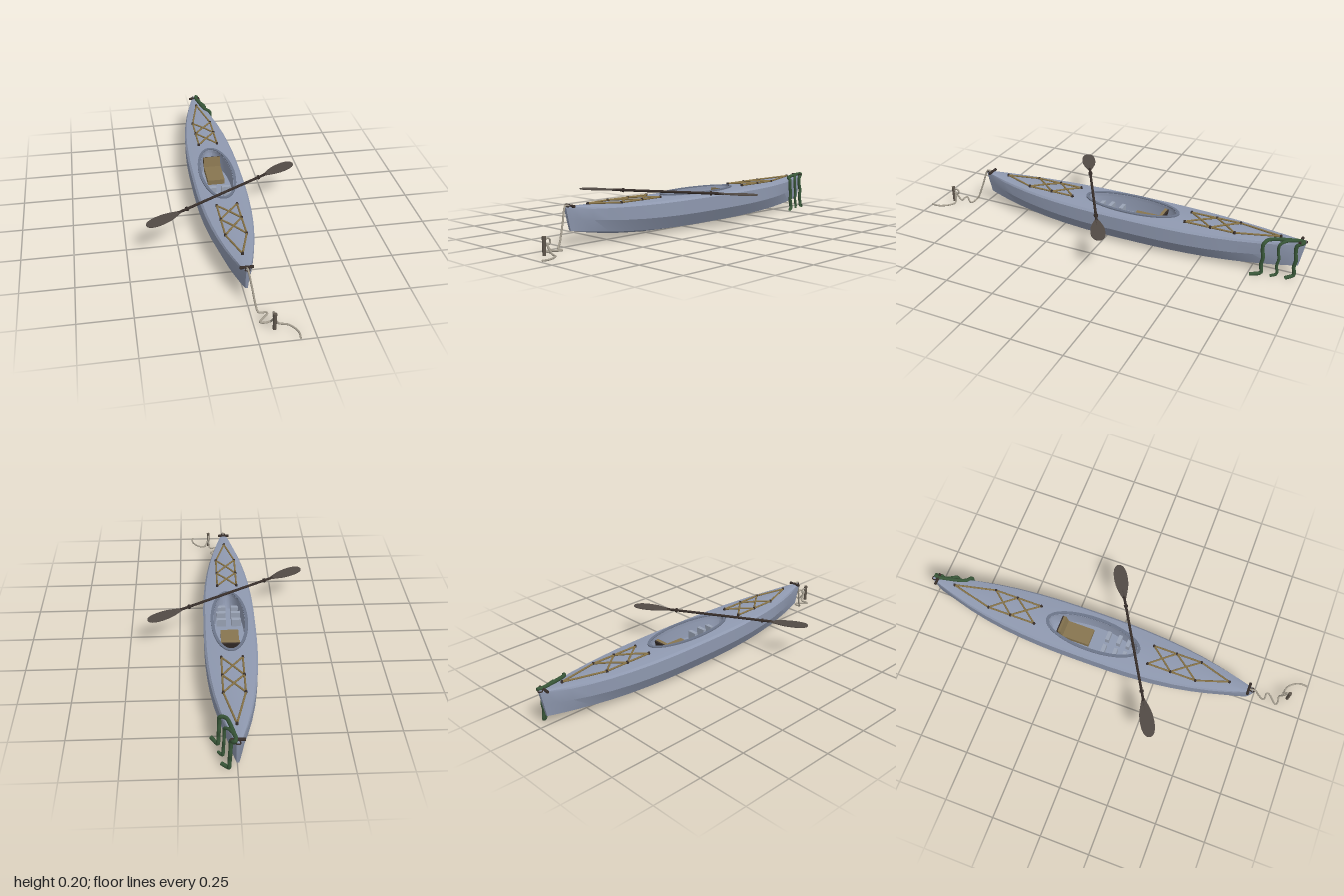
import * as THREE from 'three';
import { toCreasedNormals } from 'three/addons/utils/BufferGeometryUtils.js';

const mat = (name, color, side = THREE.FrontSide) => {
  const m = new THREE.MeshStandardMaterial({ color, side });
  m.name = name;
  return m;
};
const V = (x, y, z) => new THREE.Vector3(x, y, z);

// Hull rules along its length
const MID = -0.125, HALF = 0.865;
const station = z => Math.min(1, Math.abs(z - MID) / HALF);
const beam = z => 0.008 + 0.12 * (1 - station(z) ** 2.6);
const sheer = z => 0.162 + 0.018 * station(z) ** 4;
const keel = z => (z > MID ? 0.07 : 0.05) * station(z) ** 2.8;
const deckY = (x, z) => sheer(z) + 0.011 * (1 - (x / beam(z)) ** 2) * (1 - 0.6 * station(z) ** 4);

// Cockpit opening ellipse
const CZ = -0.11, CL = 0.24, CW = 0.08;
const opening = z => CW * Math.sqrt(Math.max(0, 1 - ((z - CZ) / CL) ** 2));

// Skin a list of cross-sections
function loft(sections, caps = false) {
  const p = [];
  const tri = (...v) => v.forEach(q => p.push(q.x, q.y, q.z));
  for (let i = 0; i < sections.length - 1; i++) {
    const s = sections[i], t = sections[i + 1];
    for (let j = 0; j < s.length - 1; j++) {
      tri(s[j], s[j + 1], t[j + 1]);
      tri(s[j], t[j + 1], t[j]);
    }
  }
  if (caps) {
    const a = sections[0], b = sections[sections.length - 1];
    for (let j = 1; j < a.length - 1; j++) {
      tri(a[0], a[j + 1], a[j]);
      tri(b[0], b[j], b[j + 1]);
    }
  }
  const g = new THREE.BufferGeometry();
  g.setAttribute('position', new THREE.Float32BufferAttribute(p, 3));
  return toCreasedNormals(g, 0.3);
}

function hullSection(z) {
  const w = beam(z), k = keel(z), s = sheer(z), x0 = opening(z), e = 0.92 * w;
  const half = [0, 0.33, 0.67, 1].map(f => {
    const x = x0 + (e - x0) * f;
    return V(x, deckY(x, z), z);
  });
  // sides and bottom lean back towards the ends
  const low = (x, y) => V(x, y, MID + (z - MID) * (1 - 0.03 * (s - y) / (s - k)));
  half.push(low(w, s - 0.008), low(w, k + (s - k) * 0.52), low(0.7 * w, k + 0.02 * (1 - station(z) ** 4)));
  return [...half, low(0, k), ...half.slice().reverse().map(v => V(-v.x, v.y, v.z))];
}

// Flat elliptical ring lying on the deck
function ellipseRing(outer, inner, y, h) {
  const s = new THREE.Shape().absellipse(0, 0, CW + outer, CL + outer, 0, Math.PI * 2);
  s.holes.push(new THREE.Path().absellipse(0, 0, CW + inner, CL + inner, 0, Math.PI * 2, true));
  const g = new THREE.ExtrudeGeometry(s, { depth: h, bevelEnabled: false, curveSegments: 40 });
  return g.rotateX(-Math.PI / 2).translate(0, y, CZ);
}

export function createModel() {
  const root = new THREE.Group();
  root.name = 'kayak';
  const hullMat = mat('hull blue grey', 0x8f99b0, THREE.DoubleSide);
  const rimMat = mat('rim slate', 0x6c7589);
  const restMat = mat('foot rest grey', 0x9aa3b5);
  const seatMat = mat('seat tan', 0x877550);
  const cordMat = mat('cord ochre', 0x857145);
  const darkMat = mat('dark fittings', 0x362d29);
  const bladeMat = mat('blade brown', 0x524a45);
  const ropeMat = mat('rope grey', 0xa39c8e, THREE.DoubleSide);
  const stakeMat = mat('stake brown', 0x5f564c);
  const weedMat = mat('weed green', 0x375537, THREE.DoubleSide);

  const add = (name, geo, m, parent = root) => {
    const mesh = new THREE.Mesh(geo, m);
    mesh.name = name;
    parent.add(mesh);
    return mesh;
  };
  const group = name => {
    const g = new THREE.Group();
    g.name = name;
    root.add(g);
    return g;
  };
  const box = (x, y, z, w, h, d) => new THREE.BoxGeometry(w, h, d).translate(x, y, z);
  const tube = (pts, r, segs) =>
    new THREE.TubeGeometry(new THREE.CatmullRomCurve3(pts, false, 'catmullrom', 0.5), segs, r, 14);

  // Hull and deck, bow to stern, with extra stations round the cockpit
  const zs = [0.74, 0.72, 0.68, 0.62, 0.54, 0.45, 0.35, 0.24];
  for (let i = 0; i <= 16; i++) zs.push(CZ + CL * Math.cos(i * Math.PI / 16));
  zs.push(-0.45, -0.56, -0.67, -0.77, -0.86, -0.93, -0.97, -0.99);
  add('hull', loft(zs.map(hullSection), true), hullMat);

  // Cockpit tub and rim
  const ring = (sc, y) => Array.from({ length: 41 }, (_, i) => {
    const a = i / 40 * Math.PI * 2;
    return V(CW * sc * Math.cos(a), y, CZ + CL * sc * Math.sin(a));
  });
  add('cockpitTub', loft([ring(1, 0.172), ring(0.97, 0.12), ring(0.92, 0.09), ring(0, 0.09)]), hullMat);
  add('cockpitRimBase', ellipseRing(0.006, -0.004, 0.16, 0.014), hullMat);
  add('cockpitRimLip', ellipseRing(0.012, -0.003, 0.173, 0.006), rimMat);

  // Seat
  const seat = group('seat');
  add('seatPad', box(0, 0.108, -0.195, 0.088, 0.026, 0.15), seatMat, seat);
  const back = add('seatBack', box(0, 0.027, 0, 0.088, 0.054, 0.014), seatMat, seat);
  add('seatBackBand', box(0, 0.036, -0.01, 0.09, 0.034, 0.008), darkMat, back);
  back.position.set(0, 0.115, -0.266);
  back.rotation.x = -0.22;

  // Foot rests on the floor
  const rests = group('footRests');
  for (const s of [-1, 1])
    for (const z of [-0.04, 0.02, 0.07])
      add('footRest', box(s * 0.037, 0.11, z, 0.048, 0.04, 0.019), restMat, rests);

  // Deck bungee lacing: crossed cords, side cords and a pointed end
  function lacing(name, rows, apex) {
    const g = group(name);
    const at = (s, z) => V(s * 0.05, deckY(0.05, z) + 0.004, z);
    const cord = (a, b) => {
      const m = a.clone().lerp(b, 0.5);
      m.y = deckY(m.x, m.z) + 0.004;
      add('cord', tube([a, m, b], 0.0045, 4), cordMat, g);
    };
    const eye = p => add('padEye', new THREE.CylinderGeometry(0.006, 0.007, 0.012, 16).translate(p.x, p.y, p.z), darkMat, g);
    const tip = V(0, deckY(0, apex) + 0.004, apex);
    for (const s of [-1, 1]) {
      for (let i = 0; i < 2; i++) {
        cord(at(s, rows[i]), at(s, rows[i + 1]));
        cord(at(s, rows[i]), at(-s, rows[i + 1]));
      }
      cord(at(s, rows[2]), tip);
      for (const z of rows) eye(at(s, z));
    }
    eye(tip);
  }
  lacing('frontLacing', [0.2, 0.32, 0.45], 0.61);
  lacing('rearLacing', [-0.41, -0.54, -0.66], -0.87);

  // Carry toggles at both ends
  for (const [name, z, e] of [['frontToggle', 0.71, 1], ['rearToggle', -0.965, -1]]) {
    const g = group(name);
    add('grip', new THREE.CylinderGeometry(0.007, 0.007, 0.062, 14).rotateZ(Math.PI / 2).translate(0, 0.183, z), darkMat, g);
    add('loop', new THREE.TorusGeometry(0.01, 0.003, 8, 14).rotateX(Math.PI / 2).translate(0, 0.182, z + e * 0.018), darkMat, g);
  }

  // Double paddle resting across the deck
  const paddle = group('paddle');
  paddle.position.set(0, 0.187, 0.108);
  paddle.rotation.y = Math.PI / 6;
  add('shaft', new THREE.CylinderGeometry(0.0065, 0.0065, 0.56, 14).rotateZ(Math.PI / 2), darkMat, paddle);
  const outline = new THREE.Shape();
  outline.moveTo(0, -0.007);
  outline.bezierCurveTo(0.05, -0.024, 0.07, -0.036, 0.12, -0.036);
  outline.bezierCurveTo(0.165, -0.036, 0.195, -0.024, 0.195, 0);
  outline.bezierCurveTo(0.195, 0.024, 0.16, 0.034, 0.12, 0.034);
  outline.bezierCurveTo(0.07, 0.034, 0.05, 0.024, 0, 0.007);
  for (const s of [0, Math.PI]) {
    const end = new THREE.Group();
    end.name = 'paddleEnd';
    end.rotation.y = s;
    paddle.add(end);
    add('blade', new THREE.ExtrudeGeometry(outline, { depth: 0.004, bevelEnabled: false, curveSegments: 10 })
      .rotateX(-Math.PI / 2).translate(0.266, -0.002, 0), bladeMat, end);
    add('bladeRib', new THREE.ConeGeometry(0.006, 0.07, 14).rotateZ(-Math.PI / 2).translate(0.315, 0, 0), bladeMat, end);
    add('dripRing', new THREE.CylinderGeometry(0.011, 0.011, 0.008, 14).rotateZ(Math.PI / 2).translate(0.228, 0, 0), darkMat, end);
  }

  // Mooring rope from the bow to the ground, looped behind a stake
  const mooring = group('mooring');
  add('rope', tube([V(0, 0.182, 0.71), V(0.002, 0.182, 0.742), V(0.014, 0.11, 0.765), V(0.026, 0.035, 0.79), V(0.036, 0.007, 0.808),
    V(0.07, 0.006, 0.812), V(0.066, 0.006, 0.83), V(0.03, 0.006, 0.868), V(0.045, 0.006, 0.878), V(0.075, 0.008, 0.875),
    V(0.08, 0.03, 0.89), V(0.084, 0.05, 0.904), V(0.092, 0.03, 0.9), V(0.11, 0.006, 0.893), V(0.145, 0.006, 0.905),
    V(0.17, 0.006, 0.935), V(0.18, 0.006, 0.965), V(0.178, 0.006, 0.997)], 0.0045, 120), ropeMat, mooring);
  add('ropeLoop', new THREE.TorusGeometry(0.014, 0.004, 10, 20).rotateY(Math.PI / 2).translate(0.083, 0.06, 0.898), ropeMat, mooring);
  add('stake', new THREE.CylinderGeometry(0.009, 0.008, 0.084, 14).translate(0.083, 0.042, 0.917), stakeMat, mooring);

  // Weed draped over the stern and hanging to the ground
  const weed = group('weed');
  for (const [z, tx, tz, r] of [[-0.81, 0.108, -0.765, 0.009], [-0.88, 0.08, -0.855, 0.007], [-0.955, 0.068, -0.925, 0.009]]) {
    const w = beam(z) + 0.008;
    const pts = [V(0.008, 0.187, -0.962), V(w * 0.55, deckY(w * 0.5, z) + 0.006, z - 0.03)];
    [0, 0.003, -0.003, 0.003, -0.002].forEach((d, i) => pts.push(V(w + 0.002 * i, 0.168 - i * 0.037, z + d)));
    pts.push(V(w + 0.014, 0.01, z + 0.006), V(tx, 0.009, tz));
    add('strand', tube(pts, r, 48), weedMat, weed);
  }
  return root;
}
